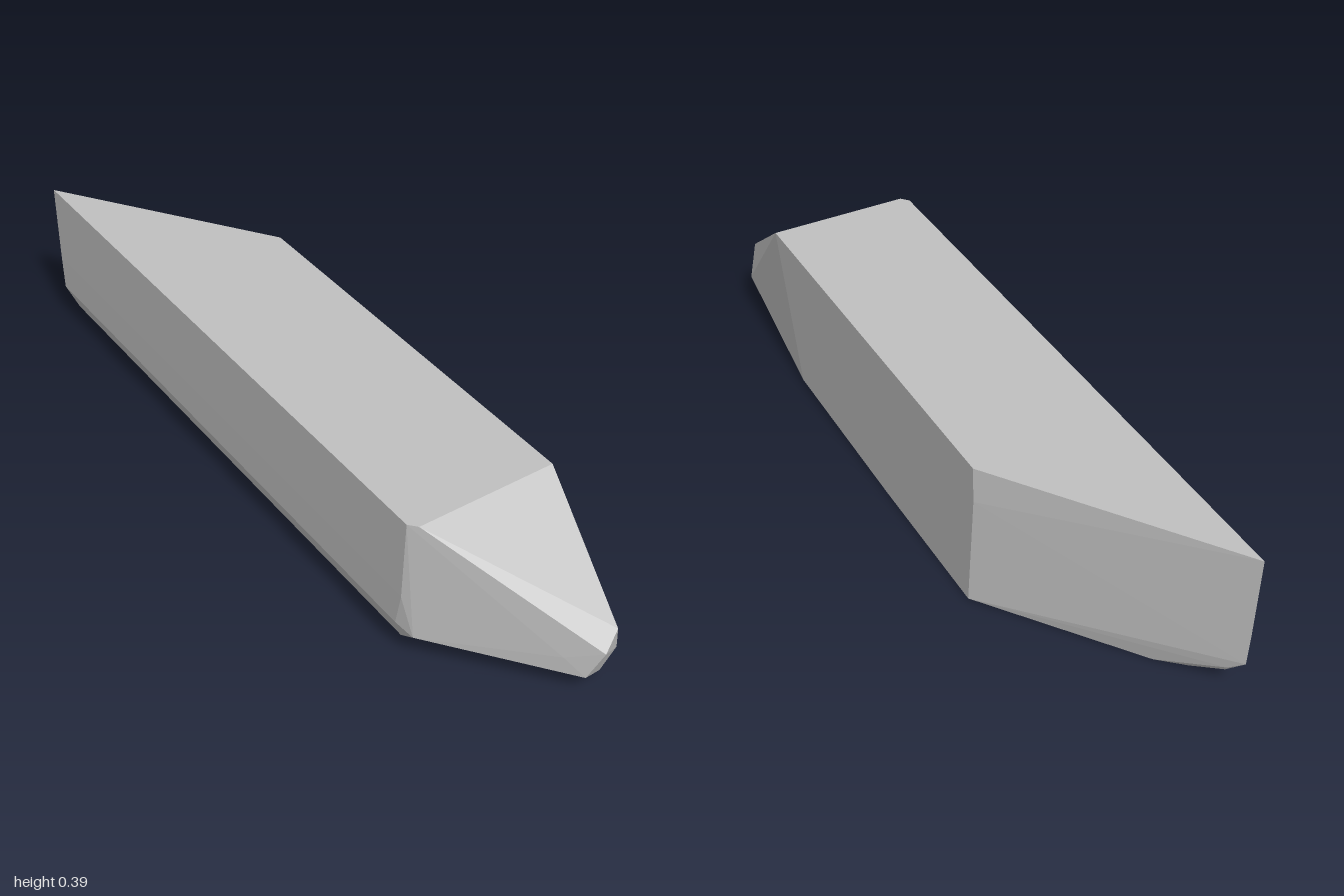
import * as THREE from 'three';
import { ConvexGeometry } from 'three/addons/geometries/ConvexGeometry.js';

const v = ([x, y, z]) => new THREE.Vector3(x, y, z);

export function createModel() {
  const model = new THREE.Group();
  model.name = 'facetedBar';
  const grey = new THREE.MeshStandardMaterial({ color: 0xc0c0c0 });
  grey.name = 'stone grey';

  // flat top with a slanted back edge
  const top = [
    [-0.193, 0.39, -1], [0.193, 0.39, -0.46], [0.193, 0.39, 0.67],
    [-0.175, 0.39, 0.69], [-0.193, 0.39, 0.67],
  ];

  // blunt nose at the front
  const nose = [
    [0.14, 0.178, 0.985], [0.1, 0.135, 1], [0.167, 0.092, 0.96],
    [0.076, 0.056, 0.972], [0.135, 0.031, 0.95], [0.04, 0.105, 0.935],
  ];

  // upright flat side, with a slightly raised front underside
  const flatSide = [
    [0.193, 0.3, -0.463], [0.193, 0.003, -0.44],
    [0.193, 0.002, 0], [0.193, 0.012, 0.53],
  ];

  // rounded lower edge: x, y, front z, back z
  const roundedEdge = [];
  for (const [x, y, front, back] of [
    [-0.193, 0.18, 0.66, -0.988],
    [-0.192, 0.092, 0.64, -0.982],
    [-0.175, 0.045, 0.64, -0.935],
    [-0.133, 0.011, 0.6, -0.86],
    [-0.08, 0.001, 0.1, -0.8],
  ]) roundedEdge.push([x, y, front], [x, y, back]);
  roundedEdge.push([-0.175, 0.072, 0.685], [-0.172, 0.06, -0.945], [-0.08, 0, -0.4]);

  const body = new THREE.Mesh(
    new ConvexGeometry([...top, ...nose, ...flatSide, ...roundedEdge].map(v)), grey);
  body.name = 'body';
  model.add(body);
  return model;
}
